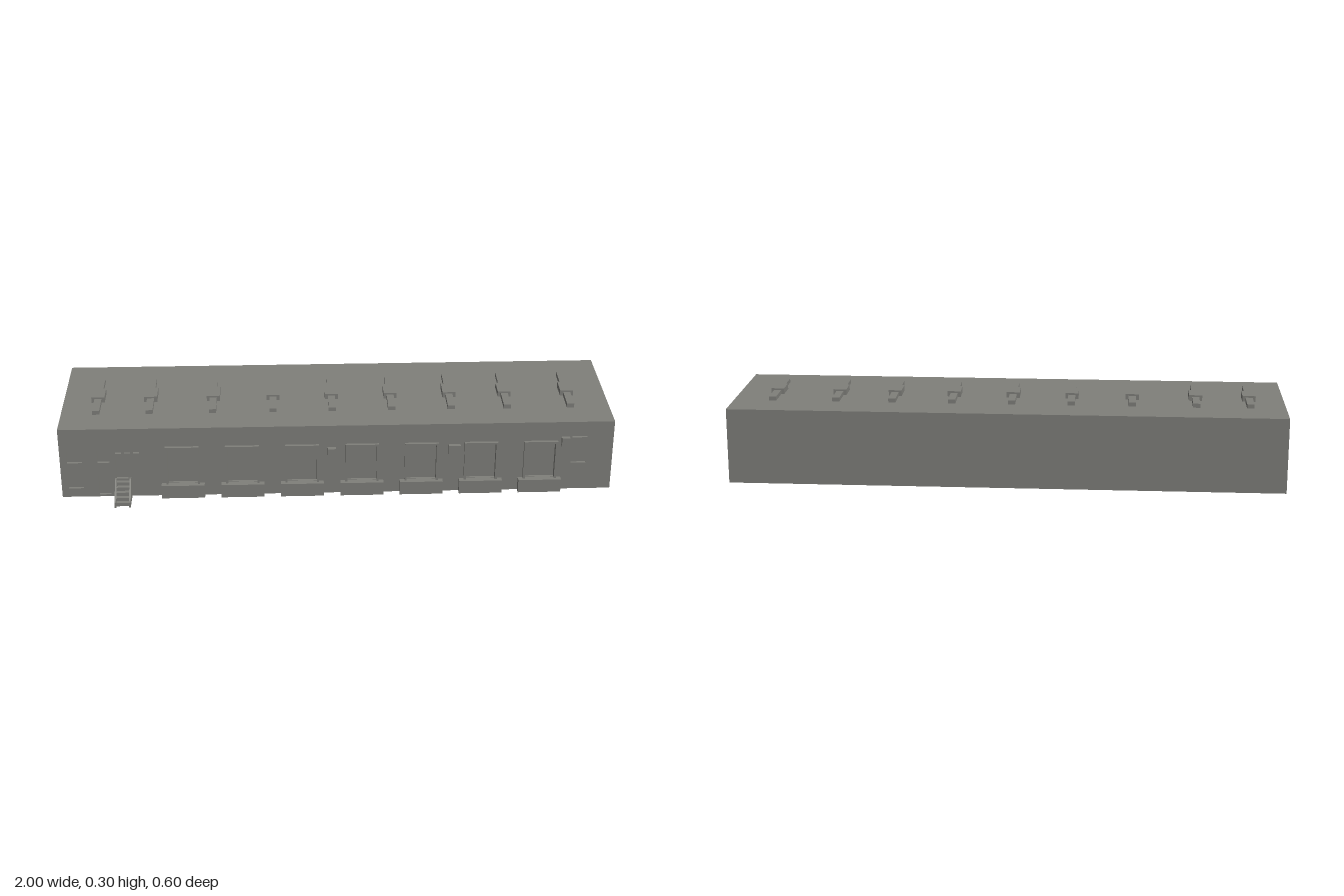
import * as THREE from 'three';

const W = 2, H = 0.275, ZF = 0.213, ZB = -0.297;

export function createModel() {
  const root = new THREE.Group();
  const grey = new THREE.MeshStandardMaterial({ color: 0x80807b, side: THREE.DoubleSide });
  grey.name = 'concrete grey';

  const add = (parent, name, geometry, x = 0, y = 0, z = 0) => {
    const m = new THREE.Mesh(geometry, grey);
    m.name = name;
    m.position.set(x, y, z);
    parent.add(m);
    return m;
  };
  // Box given by its limits on each axis
  const block = (parent, name, x0, x1, y0, y1, z0, z1) =>
    add(parent, name, new THREE.BoxGeometry(x1 - x0, y1 - y0, z1 - z0),
      (x0 + x1) / 2, (y0 + y1) / 2, (z0 + z1) / 2);

  // Thin wall facing +z with recessed openings [x0, x1, y0, y1, name]
  const wall = (name, width, openings, depth = 0.01) => {
    const g = new THREE.Group();
    g.name = name;
    const s = new THREE.Shape();
    s.moveTo(-width / 2, 0).lineTo(width / 2, 0).lineTo(width / 2, H).lineTo(-width / 2, H).closePath();
    for (const [x0, x1, y0, y1, label] of openings) {
      const h = new THREE.Path();
      h.moveTo(x0, y0).lineTo(x0, y1).lineTo(x1, y1).lineTo(x1, y0).closePath();
      s.holes.push(h);
      // Recess: a box without its outer face
      const box = new THREE.BoxGeometry(x1 - x0, y1 - y0, depth);
      box.setIndex(Array.from(box.index.array).filter((_, i) => i < 24 || i >= 30));
      add(g, label, box, (x0 + x1) / 2, (y0 + y1) / 2, -depth / 2);
    }
    add(g, name + 'Panel', new THREE.ShapeGeometry(s));
    root.add(g);
    return g;
  };

  // Loading bays
  const bays = [-0.56, -0.344, -0.128, 0.089, 0.305, 0.521, 0.737];
  const frontOpenings = bays.map(x => [x - 0.053, x + 0.053, 0.052, 0.193, 'bayDoor']);
  frontOpenings.push(
    [-0.975, -0.92, 0.139, 0.187, 'window'],
    [-0.975, -0.92, 0.035, 0.083, 'window'],
    [-0.865, -0.822, 0.139, 0.187, 'window'],
    [-0.865, -0.822, 0.008, 0.085, 'sideDoor'],
    [-0.8, -0.757, 0.073, 0.15, 'stairDoor'],
    [0.85, 0.905, 0.212, 0.217, 'ventSlit'],
    [0.85, 0.905, 0.108, 0.113, 'ventSlit']);
  for (let i = 0; i < 3; i++) {
    const x = -0.8 + i * 0.032;
    frontOpenings.push([x, x + 0.022, 0.175, 0.185, 'smallWindow']);
  }

  // Shell, open underneath
  wall('frontWall', W, frontOpenings).position.z = ZF;
  const back = wall('backWall', W, []);
  back.position.z = ZB;
  back.rotation.y = Math.PI;
  for (const side of [1, -1]) {
    const windows = [];
    for (const x of [0.032, 0.287 - 0.085 + 0.0])
      for (const y of [0.035, 0.139])
        windows.push([x - 0.08, x - 0.02, y, y + 0.048, 'window']);
    // Window columns sit off-centre, turned about on the opposite end
    for (const w of windows) {
      const c = w[0] < 0 ? -0.054 : 0.201;
      w[0] = c - 0.03;
      w[1] = c + 0.03;
    }
    const end = wall(side > 0 ? 'leftEndWall' : 'rightEndWall', ZF - ZB, windows);
    end.position.set(side, 0, (ZF + ZB) / 2);
    end.rotation.y = side * Math.PI / 2;
  }
  add(root, 'roof', new THREE.PlaneGeometry(W, ZF - ZB).rotateX(-Math.PI / 2), 0, H, (ZF + ZB) / 2);

  // Dock bases and door surrounds
  for (const x of bays) {
    const bay = new THREE.Group();
    bay.name = 'loadingBay';
    block(bay, 'dockBase', x - 0.078, x + 0.078, 0, 0.051, ZF, 0.236);
    for (const s of [-1, 1])
      block(bay, 'frameSide', x + s * 0.057 - 0.004, x + s * 0.057 + 0.004, 0.051, 0.201, ZF, 0.224);
    block(bay, 'frameTop', x - 0.053, x + 0.053, 0.193, 0.201, ZF, 0.224);
    root.add(bay);
  }

  // Wall-mounted boxes
  block(root, 'wallBox', -0.035, -0.005, 0.158, 0.188, ZF, 0.229);
  block(root, 'wallBox', 0.402, 0.445, 0.16, 0.193, ZF, 0.229);
  block(root, 'wallBox', 0.811, 0.84, 0.182, 0.216, ZF, 0.229);

  // Roof vents
  for (const x of [-0.873, -0.68, -0.45, -0.23, -0.015, 0.202, 0.42, 0.625, 0.857]) {
    const vent = new THREE.Group();
    vent.name = 'roofVent';
    block(vent, 'ventRidge', x - 0.013, x + 0.013, H, 0.29, -0.168, 0.098);
    block(vent, 'ventHood', x - 0.024, x + 0.024, H, 0.296, -0.073, 0.002);
    root.add(vent);
  }

  // Entrance stair with solid sides
  const stair = new THREE.Group();
  stair.name = 'stair';
  const profile = new THREE.Shape();
  profile.moveTo(ZF, 0).lineTo(0.298, 0).lineTo(0.298, 0.02).lineTo(0.287, 0.02)
    .lineTo(0.224, 0.076).lineTo(ZF, 0.076).closePath();
  for (const x of [-0.805, -0.753]) {
    const g = new THREE.ExtrudeGeometry(profile, { depth: 0.006, bevelEnabled: false });
    g.rotateY(-Math.PI / 2);
    add(stair, 'stairSide', g, x + 0.006);
  }
  for (let i = 0; i < 5; i++)
    block(stair, 'step', -0.8, -0.752, i * 0.013, (i + 1) * 0.013, ZF, 0.287 - i * 0.0145);
  root.add(stair);

  return root;
}
